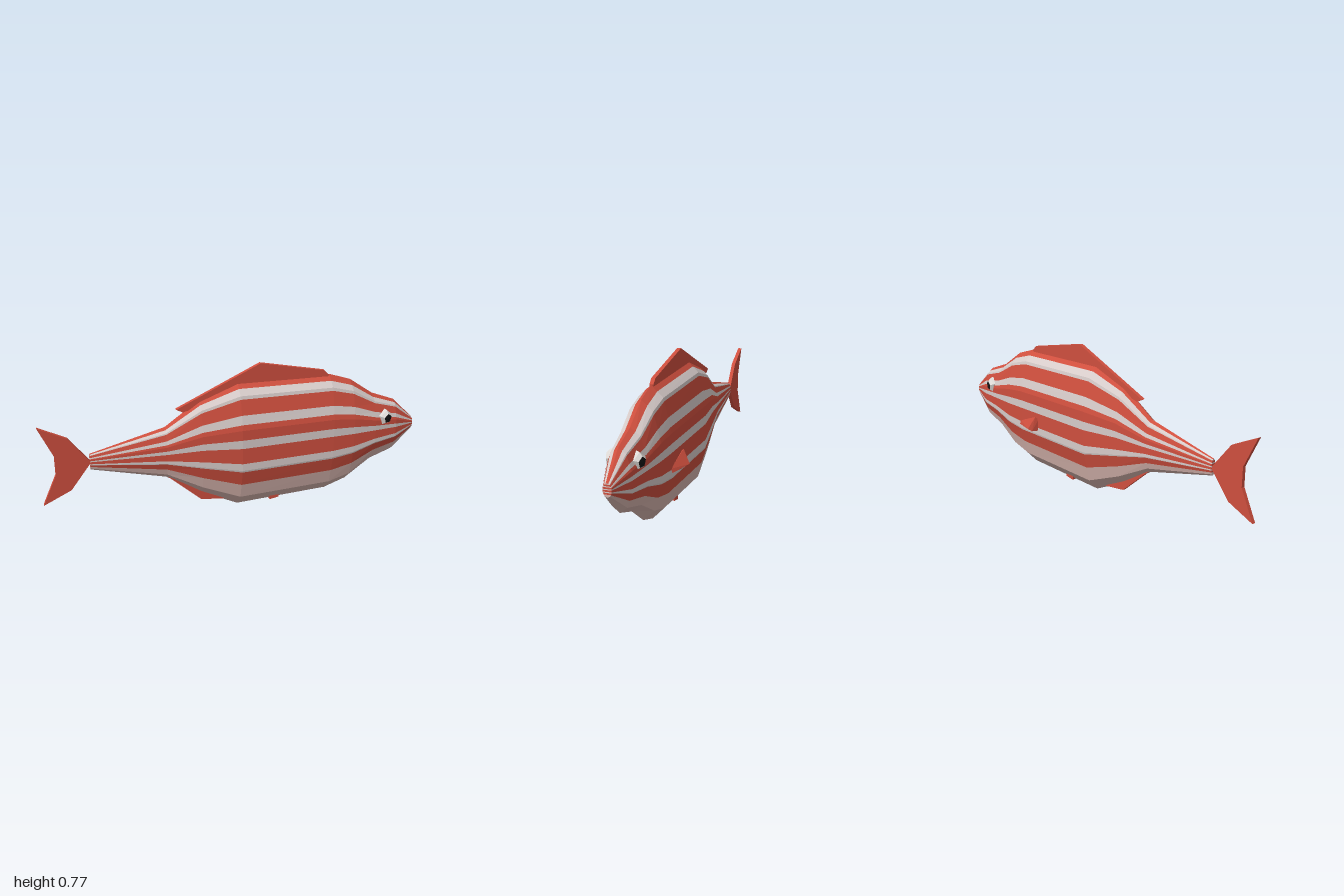
import * as THREE from 'three';
import { ConvexGeometry } from 'three/addons/geometries/ConvexGeometry.js';

const MID_Z = 0.025; // the body sits slightly forward of the origin

export function createModel() {
  const group = new THREE.Group();
  group.name = 'fish';

  const mat = (name, color) =>
    new THREE.MeshStandardMaterial({ name, color, flatShading: true, side: THREE.DoubleSide });
  const red = mat('red', 0xcf4f3e);
  const pale = mat('pale stripe', 0xd6cbc9);
  const belly = mat('belly pink', 0xd6b4ad);
  const eyeWhite = mat('eye white', 0xdedad6);
  const black = mat('pupil black', 0x141414);

  const add = (name, geometry, material, parent = group) => {
    const mesh = new THREE.Mesh(geometry, material);
    mesh.name = name;
    parent.add(mesh);
    return mesh;
  };

  // Body stations from tail to nose: x, bottom, top, half width
  const stations = [
    [-0.76, 0.31, 0.395, 0.013], [-0.38, 0.215, 0.49, 0.05], [-0.2, 0.1, 0.615, 0.075],
    [0, 0.005, 0.69, 0.1], [0.5, 0.025, 0.68, 0.1], [0.62, 0.065, 0.64, 0.094],
    [0.75, 0.16, 0.55, 0.08], [0.88, 0.205, 0.5, 0.06], [1, 0.32, 0.385, 0.02],
  ];
  // Cross-section: height fraction, width fraction
  const section = [[0, 0], [0.095, 0.6], [0.34, 1], [0.665, 1], [0.915, 0.6], [1, 0]];
  const widthAt = (f) => {
    for (let i = 1; i < section.length; i++) {
      const [f0, w0] = section[i - 1], [f1, w1] = section[i];
      if (f <= f1) return w0 + (w1 - w0) * (f - f0) / (f1 - f0);
    }
    return 0;
  };
  // Stripe edges from the belly up; colours alternate red and pale above the belly
  const edges = [0, 0.21, 0.326, 0.396, 0.52, 0.587, 0.706, 0.775, 0.89, 0.957, 1];

  const point = ([x, y0, y1, w], f, side) =>
    [x, y0 + (y1 - y0) * f, MID_Z + side * w * widthAt(f)];

  // One colour band, built on both sides along the whole body, with end caps
  const bandGeometry = (bands) => {
    const pos = [];
    const quad = (a, b, c, d) => pos.push(...a, ...b, ...c, ...a, ...c, ...d);
    for (const [lo, hi] of bands) {
      const cuts = [lo, ...section.map((s) => s[0]).filter((f) => f > lo && f < hi), hi];
      for (let k = 0; k + 1 < cuts.length; k++) {
        const [f, g] = [cuts[k], cuts[k + 1]];
        for (let i = 0; i + 1 < stations.length; i++) {
          const [s, t] = [stations[i], stations[i + 1]];
          quad(point(s, f, 1), point(t, f, 1), point(t, g, 1), point(s, g, 1));
          quad(point(t, f, -1), point(s, f, -1), point(s, g, -1), point(t, g, -1));
        }
        const [tail, nose] = [stations[0], stations[stations.length - 1]];
        quad(point(tail, f, -1), point(tail, f, 1), point(tail, g, 1), point(tail, g, -1));
        quad(point(nose, f, 1), point(nose, f, -1), point(nose, g, -1), point(nose, g, 1));
      }
    }
    const geo = new THREE.BufferGeometry();
    geo.setAttribute('position', new THREE.Float32BufferAttribute(pos, 3));
    geo.computeVertexNormals();
    return geo;
  };
  const bands = edges.slice(1).map((hi, i) => [edges[i], hi]);
  const body = new THREE.Group();
  body.name = 'body';
  group.add(body);
  add('belly', bandGeometry([bands[0]]), belly, body);
  add('redBands', bandGeometry(bands.filter((b, i) => i % 2 === 1)), red, body);
  add('paleStripes', bandGeometry(bands.filter((b, i) => i > 0 && i % 2 === 0)), pale, body);

  // Flat fins in the middle plane
  const fin = (name, pts, depth = 0.02) => {
    const shape = new THREE.Shape(pts.map(([x, y]) => new THREE.Vector2(x, y)));
    const geo = new THREE.ExtrudeGeometry(shape, { depth, bevelEnabled: false });
    geo.translate(0, 0, MID_Z - depth / 2);
    add(name, geo, red);
  };
  fin('tailFin', [[-0.755, 0.352], [-0.86, 0.49], [-1, 0.56], [-0.93, 0.405],
    [-0.93, 0.305], [-1, 0.15], [-0.86, 0.215]]);
  fin('dorsalFin', [[-0.32, 0.578], [-0.285, 0.56], [0, 0.64], [0.49, 0.66],
    [0.495, 0.68], [0.47, 0.705], [0.12, 0.777]]);
  fin('analFin', [[-0.37, 0.215], [-0.2, 0.063], [-0.08, 0.048], [0, 0.1], [-0.2, 0.2]]);
  fin('pelvicFin', [[0.18, 0.03], [0.18, 0.004], [0.23, 0.012], [0.23, 0.03]], 0.024);

  // Side fin, pointed in front and flaring out behind
  add('rightPectoralFin', new ConvexGeometry([
    [0.51, 0.29, -0.072], [0.51, 0.27, -0.08], [0.36, 0.33, -0.07], [0.37, 0.345, -0.086],
    [0.36, 0.265, -0.065], [0.39, 0.28, -0.123], [0.375, 0.267, -0.108],
  ].map((p) => new THREE.Vector3(...p))), red);

  // Five-sided eyes, turned a little forward
  const lathe = (pts) =>
    new THREE.LatheGeometry(pts.map(([r, y]) => new THREE.Vector2(r, y)), 5);
  for (const side of [1, -1]) {
    const eye = new THREE.Group();
    eye.name = side > 0 ? 'leftEye' : 'rightEye';
    eye.position.set(0.808, 0.425, MID_Z + side * 0.05);
    const outward = new THREE.Vector3(0.3, -0.05, side).normalize();
    const up = new THREE.Vector3(0, 1, 0);
    up.addScaledVector(outward, -up.dot(outward)).normalize();
    const across = new THREE.Vector3().crossVectors(outward, up);
    eye.quaternion.setFromRotationMatrix(new THREE.Matrix4().makeBasis(across, outward, up));
    add('eyeball', lathe([[0.025, -0.035], [0.046, 0], [0.042, 0.018], [0.026, 0.034]]), eyeWhite, eye);
    add('pupil', lathe([[0.026, 0.034], [0, 0.038]]), black, eye);
    group.add(eye);
  }
  return group;
}
